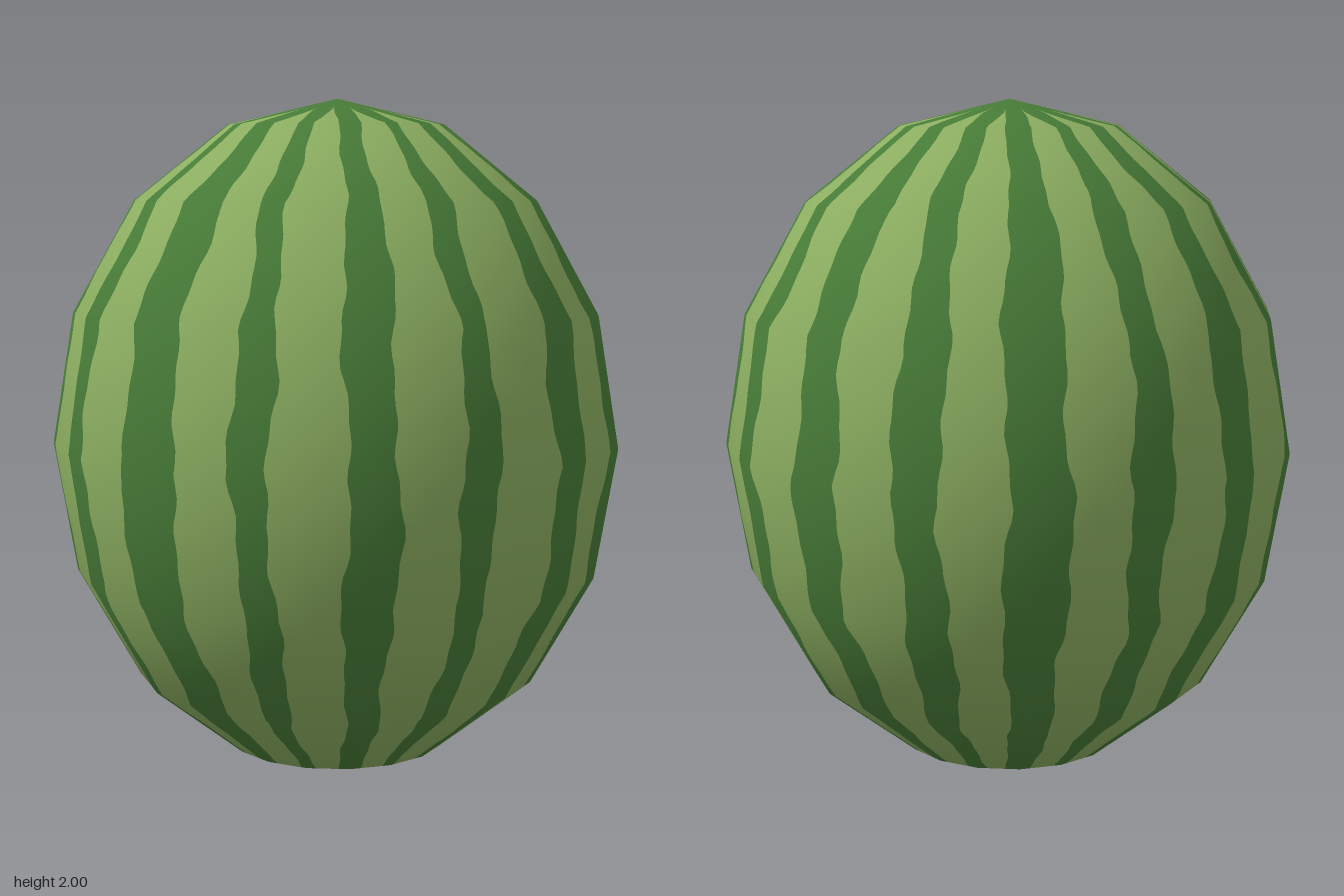
import * as THREE from 'three';

const SIDES = 16, RINGS = 8, STEPS = 12;   // coarse facets, and stripe rows per facet
const RADIUS = 0.84;

// Half widths of each stripe to its left and right, in facet widths
const STRIPES = [
  [0.30, 0.28], [0.15, 0.17], [0.21, 0.22], [0.21, 0.09],
  [0.22, 0.21], [0.24, 0.27], [0.24, 0.12], [0.25, 0.14],
  [0.25, 0.22], [0.21, 0.20], [0.28, 0.25], [0.20, 0.16],
  [0.25, 0.19], [0.12, 0.30], [0.20, 0.09], [0.27, 0.12],
];

// Corner of the coarse ellipsoid, with its smooth normal
function corner(i, j) {
  const theta = (i / SIDES) * Math.PI * 2, phi = (j / RINGS) * Math.PI;
  const s = Math.sin(phi), x = s * Math.sin(theta), y = Math.cos(phi), z = s * Math.cos(theta);
  return {
    p: new THREE.Vector3(x * RADIUS, y + 1, z * RADIUS),
    n: new THREE.Vector3(x / RADIUS, y, z / RADIUS).normalize(),
  };
}

// Point on the flat facets at column u and row t
function surface(u, t) {
  const i = Math.floor(u), j = Math.min(Math.floor(t), RINGS - 1), fu = u - i, ft = t - j;
  const a = corner(i, j), b = corner(i + 1, j), c = corner(i, j + 1), d = corner(i + 1, j + 1);
  const mix = (k) => a[k].lerp(b[k], fu).lerp(c[k].lerp(d[k], fu), ft);
  return { p: mix('p'), n: mix('n').normalize() };
}

// Wavy half width of stripe k on one side, closing up at the poles
function halfWidth(k, side, t) {
  const phase = k * 2.4 + side * 1.7;
  const wobble = 0.035 * Math.sin(t * 3.1 + phase) + 0.022 * Math.sin(t * 7.3 + phase * 2.1)
    + 0.012 * Math.sin(t * 17 + phase * 3.3);
  const base = Math.max(0.05, STRIPES[k][side] + wobble);
  const fromPole = Math.min(t, RINGS - t);
  const close = 0.42 + 0.1 * Math.sin(k * 2.9 + (t > 4 ? 1 : 0));
  const grow = THREE.MathUtils.clamp((1.25 - fromPole) / (1.25 - close), 0, 1);
  return THREE.MathUtils.lerp(base, 0.5, grow ** 2.2);
}

function addQuad(out, l0, r0, l1, r1, t0, t1) {
  if (r0 - l0 < 1e-6 && r1 - l1 < 1e-6) return;
  const a = surface(l0, t0), b = surface(r0, t0), c = surface(l1, t1), d = surface(r1, t1);
  for (const v of [a, c, d, a, d, b]) {
    out.pos.push(v.p.x, v.p.y, v.p.z);
    out.nor.push(v.n.x, v.n.y, v.n.z);
  }
}

function toMesh(data, name, material) {
  const g = new THREE.BufferGeometry();
  g.setAttribute('position', new THREE.Float32BufferAttribute(data.pos, 3));
  g.setAttribute('normal', new THREE.Float32BufferAttribute(data.nor, 3));
  const mesh = new THREE.Mesh(g, material);
  mesh.name = name;
  return mesh;
}

export function createModel() {
  const lightGreen = new THREE.MeshStandardMaterial({ color: 0x8bad60 });
  lightGreen.name = 'light green rind';
  const darkGreen = new THREE.MeshStandardMaterial({ color: 0x477b37 });
  darkGreen.name = 'dark green stripe';

  const light = { pos: [], nor: [] }, dark = { pos: [], nor: [] };
  const rows = RINGS * STEPS;
  for (let k = 0; k < SIDES; k++) {
    // Columns of one stripe cell: rind, stripe, stripe, rind
    const columns = (t) => [k - 0.5, k - halfWidth(k, 0, t), k, k + halfWidth(k, 1, t), k + 0.5];
    for (let r = 0; r < rows; r++) {
      const t0 = r / STEPS, t1 = (r + 1) / STEPS;
      const top = columns(t0), low = columns(t1);
      for (let c = 0; c < 4; c++) {
        const out = c === 1 || c === 2 ? dark : light;
        addQuad(out, top[c], top[c + 1], low[c], low[c + 1], t0, t1);
      }
    }
  }

  const melon = new THREE.Group();
  melon.name = 'watermelon';
  melon.add(toMesh(light, 'rind', lightGreen), toMesh(dark, 'stripes', darkGreen));
  return melon;
}
